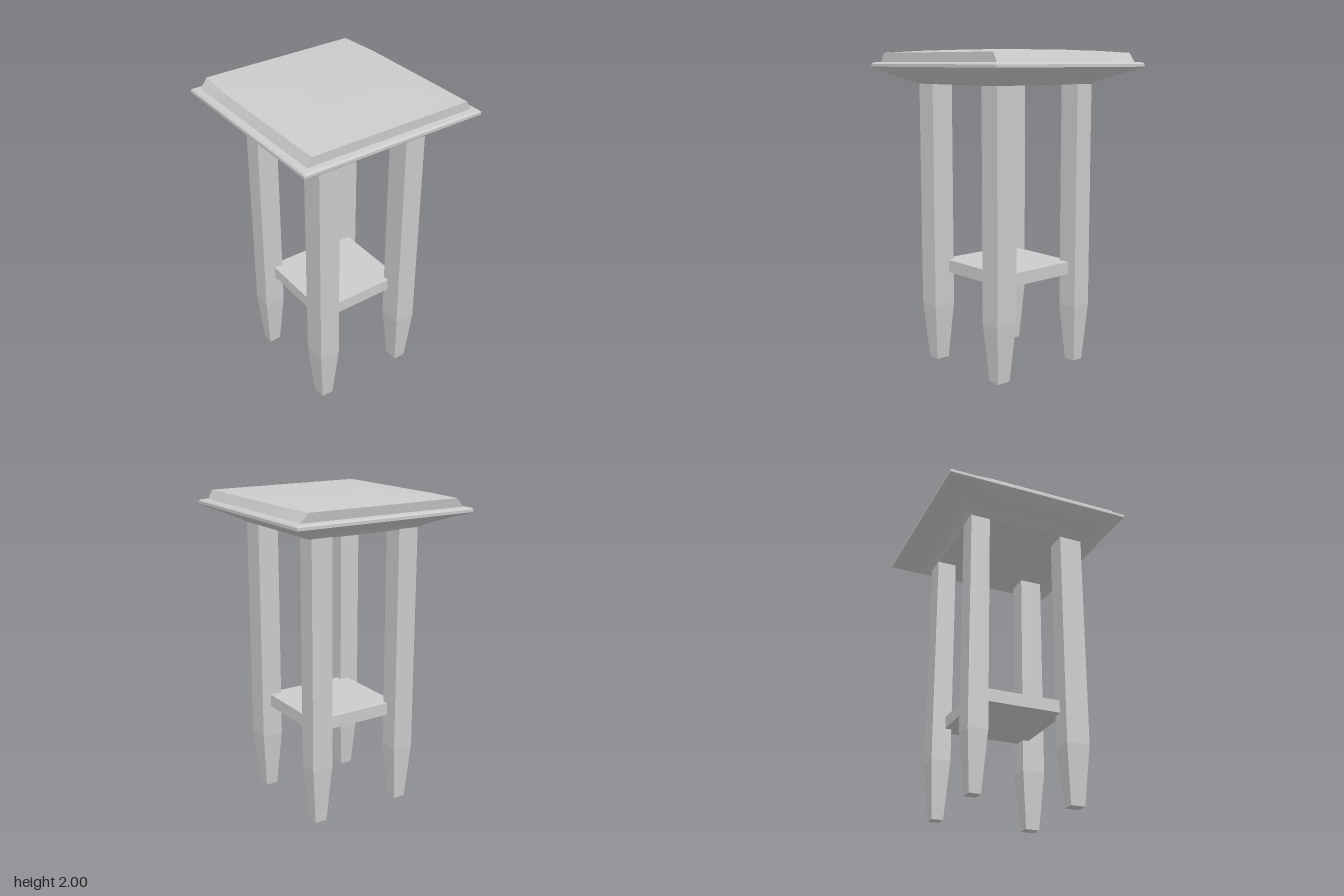
import * as THREE from 'three';
import { toCreasedNormals } from 'three/addons/utils/BufferGeometryUtils.js';

const material = new THREE.MeshStandardMaterial({ color: 0xcccccc });

// Skin a stack of rings (bottom to top, each counter-clockwise from above) and cap both ends.
function loft(rings, crease) {
  const n = rings[0].length;
  const index = [];
  for (let r = 0; r < rings.length - 1; r++) {
    for (let i = 0; i < n; i++) {
      const a = r * n + i, b = r * n + (i + 1) % n;
      index.push(a, b, b + n, a, b + n, a + n);
    }
  }
  const last = (rings.length - 1) * n;
  for (let i = 1; i < n - 1; i++) {
    index.push(0, i + 1, i);
    index.push(last, last + i, last + i + 1);
  }
  const geometry = new THREE.BufferGeometry();
  geometry.setAttribute('position', new THREE.Float32BufferAttribute(rings.flat(2), 3));
  geometry.setIndex(index);
  return toCreasedNormals(geometry, crease);
}

function addMesh(group, name, geometry) {
  const mesh = new THREE.Mesh(geometry, material);
  mesh.name = name;
  group.add(mesh);
  return mesh;
}

// Rectangular ring for a leg section
const rect = (y, x0, x1, z0, z1) => [[x0, y, z1], [x1, y, z1], [x1, y, z0], [x0, y, z0]];

// Table-top ring: side half width, front depth, back depth, half width at the back
function topRing([y, x, front, back, xBack = x]) {
  const mid = -back * 0.53;
  return [[-x, y, front], [x, y, front], [x, y, mid],
    [xBack, y, -back], [-xBack, y, -back], [-x, y, mid]];
}

export function createModel() {
  const model = new THREE.Group();

  // Moulded top: cove underneath, thin rim, bevelled step and a slight crown
  const profile = [
    [1.79, 0.38, 0.41, 0.37],
    [1.805, 0.405, 0.45, 0.385],
    [1.82, 0.44, 0.475, 0.41],
    [1.85, 0.51, 0.53, 0.48],
    [1.885, 0.59, 0.595, 0.585],
    [1.895, 0.605, 0.605, 0.605],
    [1.912, 0.605, 0.605, 0.605],
    [1.921, 0.595, 0.595, 0.595],
    [1.925, 0.56, 0.56, 0.56],
    [1.98, 0.53, 0.56, 0.57, 0.51],
    [1.992, 0.38, 0.4, 0.44, 0.37],
    [2.0, 0.2, 0.2, 0.3],
  ];
  addMesh(model, 'tableTop', loft(profile.map(topRing), 0.55));

  // Four square legs with tapered feet
  for (const side of [-1, 1]) {
    for (const end of [-1, 1]) {
      const outer = end > 0 ? 0.4 : 0.375;
      const footOuter = end > 0 ? 0.37 : 0.35;
      const section = (y, x0, x1, z0, z1) => rect(y,
        Math.min(side * x0, side * x1), Math.max(side * x0, side * x1),
        Math.min(end * z0, end * z1), Math.max(end * z0, end * z1));
      const rings = [
        section(0, 0.265, 0.345, 0.278, footOuter),
        section(0.37, 0.237, 0.375, 0.25, outer),
        section(1.8, 0.237, 0.375, 0.25, outer),
      ];
      const name = (end > 0 ? 'front' : 'back') + (side > 0 ? 'Left' : 'Right') + 'Leg';
      addMesh(model, name, loft(rings, 0.05));
    }
  }

  // Low shelf let into the legs
  const shelf = addMesh(model, 'shelf', new THREE.BoxGeometry(0.61, 0.08, 0.58));
  shelf.position.set(0.01, 0.62, 0);

  return model;
}
